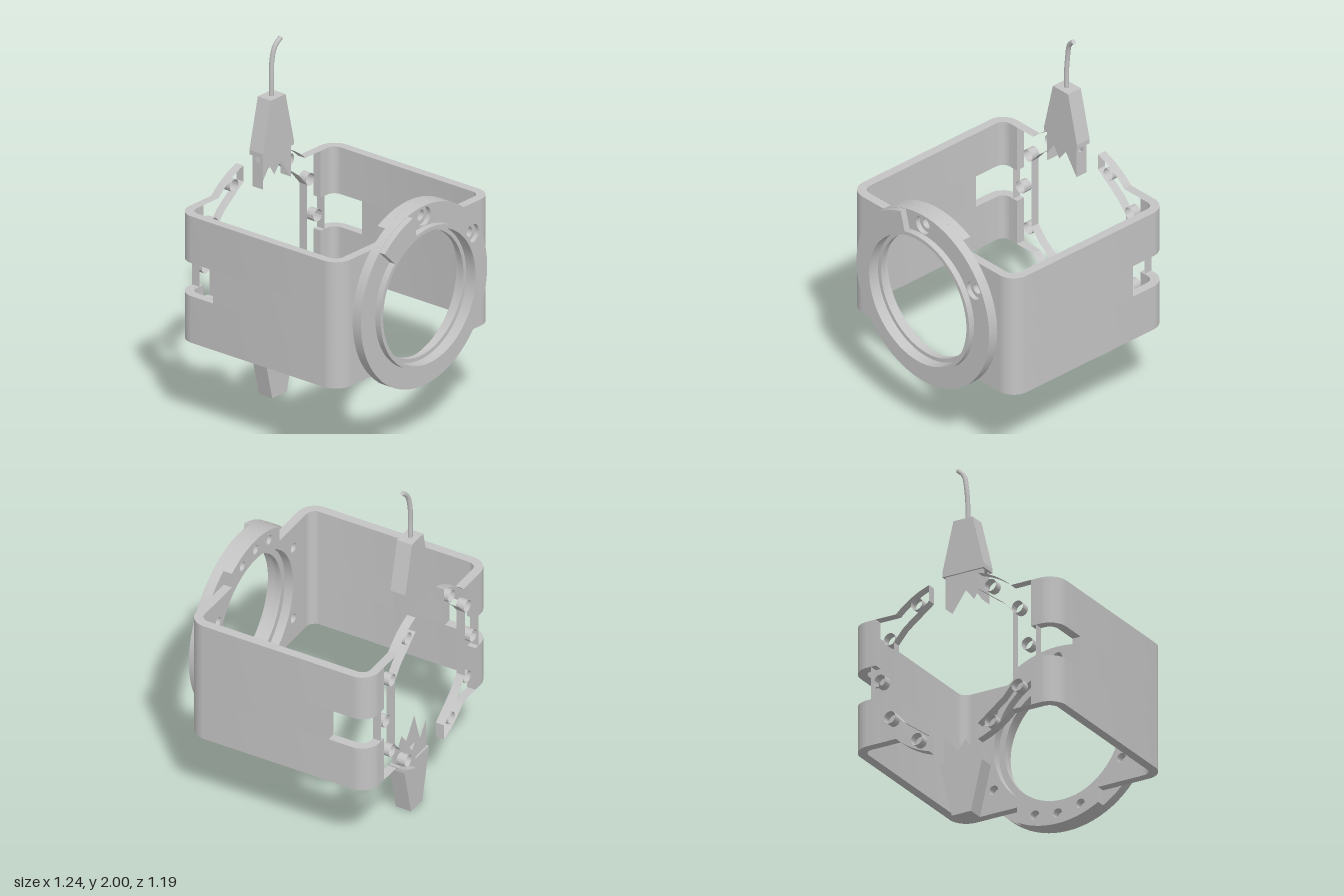
import * as THREE from 'three';
import { toCreasedNormals } from 'three/addons/utils/BufferGeometryUtils.js';

const CY = 0.833; // height of the ring axis
const HALF = 0.356; // half height of the bracket
const rad = THREE.MathUtils.degToRad;
const grey = new THREE.MeshStandardMaterial({ color: 0xc4c4c4, side: THREE.DoubleSide });
grey.name = 'grey metal';

function add(parent, name, geometry) {
  const mesh = new THREE.Mesh(geometry, grey);
  mesh.name = name;
  parent.add(mesh);
  return mesh;
}

// Extrude a shape between two z planes
function slab(shape, z0, z1) {
  const geo = new THREE.ExtrudeGeometry(shape, { depth: z1 - z0, bevelEnabled: false, curveSegments: 40 });
  return geo.translate(0, 0, z0);
}
const smooth = (geo) => toCreasedNormals(geo, 0.6);

// Only the side walls of an extrusion, without its caps
function wallsOnly(geo) {
  const { start, count } = geo.groups[1];
  const out = new THREE.BufferGeometry();
  const pos = geo.getAttribute('position').array;
  out.setAttribute('position', new THREE.BufferAttribute(pos.slice(start * 3, (start + count) * 3), 3));
  return smooth(out);
}

const polygon = (pts) => new THREE.Shape(pts.map(([x, y]) => new THREE.Vector2(x, y)));
const circleHole = (x, y, r) => new THREE.Path().absarc(x, y, r, 0, Math.PI * 2, true);
const polarHole = (deg, r) => circleHole(0.446 * Math.cos(rad(deg)), 0.446 * Math.sin(rad(deg)), r);

function ring(outer, inner, holes = []) {
  const s = new THREE.Shape().absarc(0, 0, outer, 0, Math.PI * 2, false);
  s.holes.push(circleHole(0, 0, inner), ...holes);
  return s;
}

function sector(r0, r1, a0, a1) {
  const s = new THREE.Shape();
  s.absarc(0, 0, r1, rad(a0), rad(a1), false);
  s.absarc(0, 0, r0, rad(a1), rad(a0), true);
  return s;
}

// Wall with rounded front and back corners, seen from above (v = -z)
function sideShape(full) {
  const s = new THREE.Shape();
  s.moveTo(0.515, -0.5);
  s.absarc(0.522, -0.4, 0.1, -Math.PI / 2, 0, false);
  if (full) {
    s.absarc(0.522, 0.494, 0.1, 0, Math.PI / 2, false);
    s.lineTo(0.47, 0.594);
    s.lineTo(0.47, 0.544);
    s.absarc(0.522, 0.494, 0.05, Math.PI / 2, 0, true);
  } else {
    s.lineTo(0.622, 0.35);
    s.lineTo(0.572, 0.35);
  }
  s.absarc(0.522, -0.4, 0.05, 0, -Math.PI / 2, true);
  s.lineTo(0.515, -0.45);
  return s;
}

// Side wall with its window, and the open edges of the rear plate
function makeSide() {
  const side = new THREE.Group();
  for (const [name, y0, y1, full] of [
    ['lowerWall', -HALF, -0.093, true],
    ['middleWall', -0.093, 0.093, false],
    ['upperWall', 0.093, HALF, true],
  ]) {
    add(side, name, smooth(slab(sideShape(full), y0, y1).rotateX(-Math.PI / 2)));
  }
  const r = 0.497, a0 = Math.asin(HALF / r), a1 = Math.acos(0.147 / r);
  const plate = new THREE.Shape();
  plate.moveTo(0.5, -HALF);
  plate.lineTo(0.5, HALF);
  plate.absarc(0, 0, r, a0, a1, false);
  for (const [x, y] of [[0.147, 0.385], [0.3, 0.27], [0.36, 0.2], [0.36, -0.2], [0.3, -0.27], [0.147, -0.385]]) plate.lineTo(x, y);
  plate.absarc(0, 0, r, -a1, -a0, false);
  plate.lineTo(0.5, -HALF);
  for (const deg of [-60, -30, 0, 30, 60]) plate.holes.push(polarHole(deg, 0.034));
  add(side, 'rearPlateEdges', wallsOnly(slab(plate, -0.594, -0.544)));
  return side;
}

// Front plate, bumped out at top and bottom to follow the ring
function frontPlate() {
  const s = new THREE.Shape();
  const x = 0.245;
  const a = Math.acos(x / 0.505);
  s.moveTo(0.522, -HALF);
  s.lineTo(0.522, HALF);
  s.lineTo(x, HALF);
  s.absarc(0, 0, 0.505, a, Math.PI - a, false);
  s.lineTo(-x, HALF);
  s.lineTo(-0.522, HALF);
  s.lineTo(-0.522, -HALF);
  s.lineTo(-x, -HALF);
  s.absarc(0, 0, 0.505, Math.PI + a, 2 * Math.PI - a, false);
  s.lineTo(x, -HALF);
  s.holes.push(circleHole(0, 0, 0.385));
  for (const deg of [30, 72, 90, 108, 150, 210, 252, 270, 288, 330]) s.holes.push(polarHole(deg, 0.026));
  return s;
}

// Tapered clip body pointing up, jagged neck hanging below it
function makeClip(neckDepth, splitSides) {
  const clip = new THREE.Group();
  const body = polygon([[-0.125, 0], [0.125, 0], [0.125, 0.025], [0.058, 0.305], [-0.058, 0.305], [-0.125, 0.025]]);
  add(clip, 'clipBody', slab(body, -0.045, 0.045));
  const d = -neckDepth;
  const jag = polygon([[-0.112, 0], [-0.112, d * 0.75], [-0.06, d * 0.35], [-0.02, d * 0.7], [0.03, d * 0.35],
    [0.112, d], [0.112, 0]]);
  const flank = splitSides
    ? polygon([[-0.035, 0], [-0.035, d], [0.0, d * 0.22], [0.035, d], [0.035, 0]])
    : polygon([[-0.035, 0], [-0.035, d], [0.035, d], [0.035, 0], [0.015, 0], [0.015, d * 0.2], [-0.015, d * 0.2], [-0.015, 0]]);
  for (const turn of [0, Math.PI]) {
    add(clip, 'neckFace', new THREE.ShapeGeometry(jag).translate(0, 0, 0.035).rotateY(turn));
    add(clip, 'neckFlank', new THREE.ShapeGeometry(flank).rotateY(Math.PI / 2).translate(0.112, 0, 0).rotateY(turn));
  }
  return clip;
}

export function createModel() {
  const model = new THREE.Group();
  model.name = 'ringBracket';

  // Bracket sides, the second one turned half round the ring axis
  for (const [name, turn] of [['leftSide', 0], ['rightSide', Math.PI]]) {
    const side = makeSide();
    side.name = name;
    side.position.y = CY;
    side.rotation.z = turn;
    model.add(side);
  }

  // Front plate and stepped mounting ring with two counterbored holes
  const front = new THREE.Group();
  front.name = 'mountingRing';
  front.position.y = CY;
  model.add(front);
  const bores = (r) => [polarHole(90, r), polarHole(30, r)];
  add(front, 'frontPlate', smooth(slab(frontPlate(), 0.45, 0.5)));
  add(front, 'flangeBack', smooth(slab(ring(0.505, 0.348, bores(0.03)), 0.5, 0.53)));
  add(front, 'flangeFront', smooth(slab(ring(0.505, 0.37, bores(0.052)), 0.53, 0.557)));
  add(front, 'lip', smooth(slab(ring(0.391, 0.37), 0.557, 0.593)));
  add(front, 'raisedTab', smooth(slab(sector(0.385, 0.503, 105, 135), 0.557, 0.593)));

  // Clips above and below the rear opening
  const upper = makeClip(0.18, false);
  upper.name = 'upperClip';
  upper.position.set(-0.01, 1.375, -0.47);
  model.add(upper);
  const lower = makeClip(0.17, true);
  lower.name = 'lowerClip';
  lower.position.set(0, 0.305, -0.47);
  lower.rotation.z = Math.PI;
  model.add(lower);

  // Bent wire
  const path = new THREE.CatmullRomCurve3([[-0.012, 1.67, -0.47], [-0.012, 1.78, -0.47], [-0.006, 1.87, -0.472],
    [0.008, 1.94, -0.468], [0.022, 1.963, -0.465], [0.051, 1.99, -0.46]].map((p) => new THREE.Vector3(...p)));
  add(model, 'wire', new THREE.TubeGeometry(path, 24, 0.013, 10));
  const end = add(model, 'wireEnd', new THREE.CircleGeometry(0.013, 10));
  end.position.copy(path.getPoint(1));
  end.lookAt(path.getPoint(1).add(path.getTangent(1)));
  return model;
}
